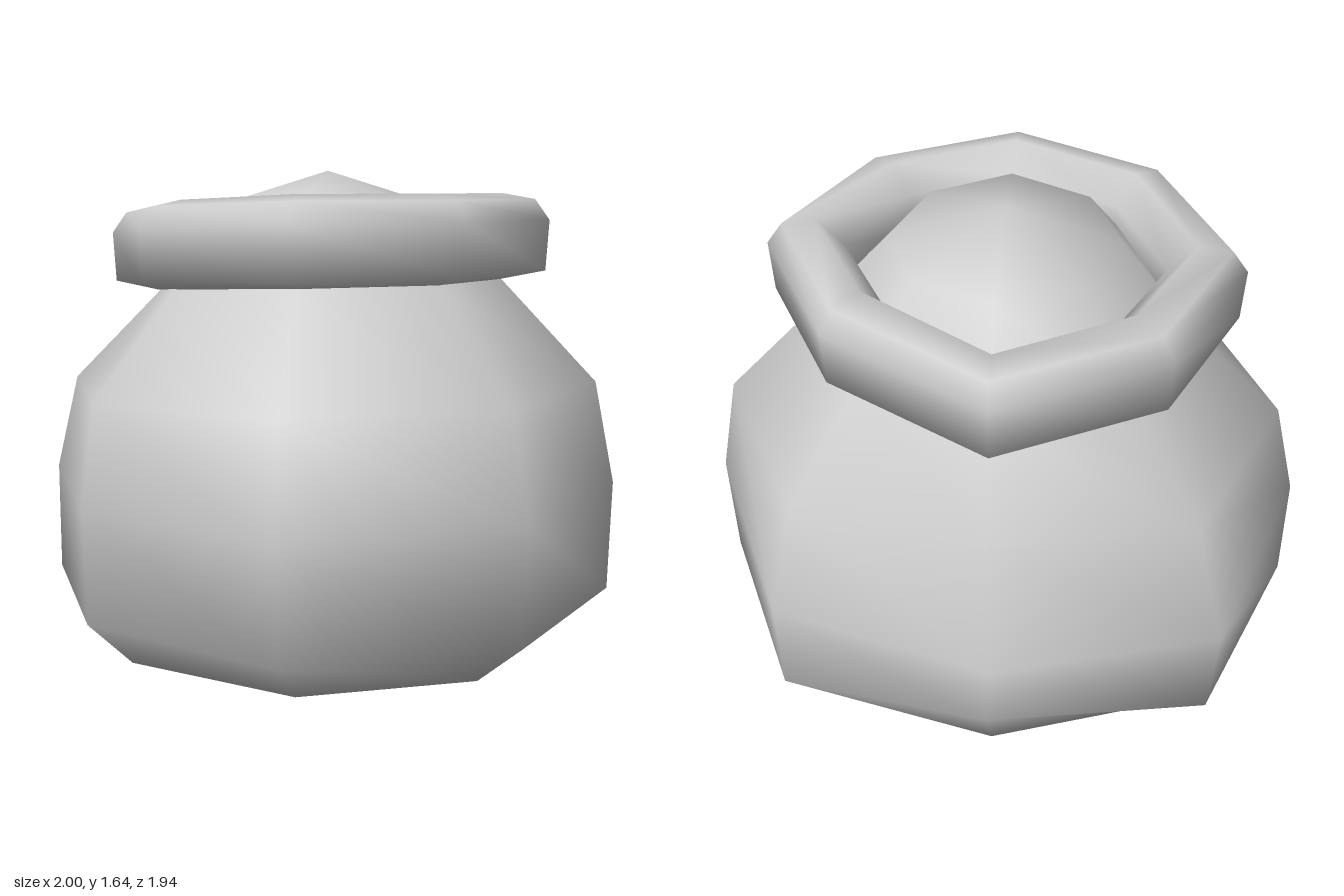
import * as THREE from 'three';
import { mergeVertices } from 'three/addons/utils/BufferGeometryUtils.js';

const SIDES = 8; // order: front, front left, left, back left, back, back right, right, front right
const at = (v, k) => (Array.isArray(v) ? v[k] : v);

// Skins octagonal rings of { r, y, cz }; r and y are one value or one per corner.
function loft(rings, closed) {
  const pos = [], index = [];
  for (const { r, y, cz } of rings) {
    for (let k = 0; k < SIDES; k++) {
      const a = (k / SIDES) * Math.PI * 2;
      pos.push(Math.sin(a) * at(r, k), at(y, k), cz + Math.cos(a) * at(r, k));
    }
  }
  const n = rings.length;
  for (let j = 0; j < (closed ? n : n - 1); j++) {
    for (let k = 0; k < SIDES; k++) {
      const k1 = (k + 1) % SIDES, j1 = (j + 1) % n;
      const a = j * SIDES + k, b = j * SIDES + k1, c = j1 * SIDES + k1, d = j1 * SIDES + k;
      if (rings[j].r !== 0) index.push(a, b, d);
      if (rings[j1].r !== 0) index.push(b, c, d);
      else if (rings[j].r !== 0) continue;
      if (rings[j].r === 0) index.push(); // pole fan already added above
    }
  }
  const geo = new THREE.BufferGeometry();
  geo.setAttribute('position', new THREE.Float32BufferAttribute(pos, 3));
  geo.setIndex(index);
  const merged = mergeVertices(geo);
  merged.computeVertexNormals();
  return merged;
}

export function createModel() {
  const cloth = new THREE.MeshStandardMaterial({ color: 0xcccccc });
  cloth.name = 'cloth';
  const group = new THREE.Group();
  group.name = 'sack';

  // Bulging sack, closed by a flat base and a low domed filling
  const cz = -0.09;
  const body = new THREE.Mesh(loft([
    { cz, r: 0, y: 0 },
    { cz, r: [0.69, 0.8, 0.69, 0.74, 0.69, 0.74, 0.69, 0.8], y: [0, 0.04, 0, 0, 0, 0, 0, 0.04] },
    { cz, r: [1.0, 1.0, 0.99, 0.97, 0.88, 0.99, 1.0, 0.96], y: [0.2, 0.2, 0.2, 0.22, 0.3, 0.22, 0.2, 0.2] },
    { cz, r: [1.06, 1.02, 1.0, 0.98, 0.85, 1.02, 1.0, 0.97], y: [0.58, 0.58, 0.58, 0.55, 0.48, 0.55, 0.58, 0.58] },
    { cz, r: [0.96, 0.94, 0.93, 0.88, 0.73, 0.89, 0.92, 0.92], y: [0.93, 0.93, 0.93, 0.92, 0.89, 0.91, 0.91, 0.92] },
    { cz, r: [0.64, 0.62, 0.6, 0.59, 0.54, 0.6, 0.61, 0.62], y: [1.28, 1.28, 1.28, 1.26, 1.2, 1.23, 1.22, 1.26] },
    { cz, r: 0.37, y: [1.57, 1.55, 1.53, 1.53, 1.53, 1.53, 1.53, 1.55] },
    { cz, r: 0, y: 1.645 },
  ], false), cloth);
  body.name = 'body';

  // Thick rolled rim that sags towards the back right
  const sag = [0, 0, 0, -0.01, -0.09, -0.05, -0.05, -0.02];
  const stretch = [1, 0.95, 1, 0.94, 0.97, 0.97, 1.01, 0.97];
  const section = [[0.75, 1.31], [0.76, 1.48], [0.71, 1.55], [0.6, 1.57], [0.51, 1.48], [0.49, 1.34], [0.6, 1.28]];
  const rim = new THREE.Mesh(loft(section.map(([r, y]) => ({
    cz: -0.07,
    r: stretch.map((s) => s * r),
    y: sag.map((s) => y + s),
  })), true), cloth);
  rim.name = 'rolledRim';

  group.add(body, rim);
  return group;
}
